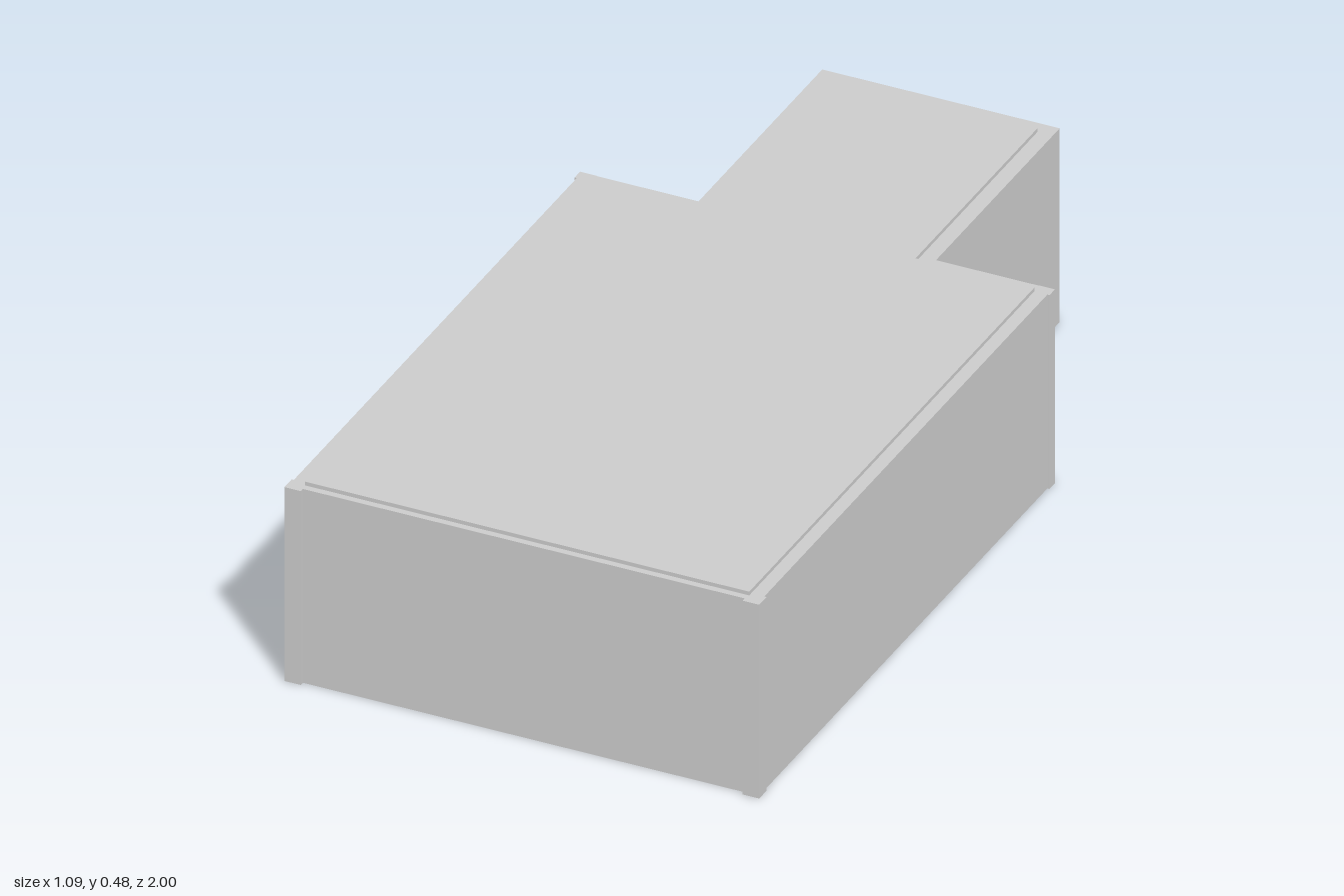
import * as THREE from 'three';

const material = new THREE.MeshStandardMaterial({ color: 0xcccccc, flatShading: true });

// Mirrored T-shaped plan: wide hall in front, narrow wing behind, extruded upwards
function tBlock(name, hallX, wingX, front, shoulder, back, y0, y1) {
  const half = [[hallX, front], [hallX, shoulder], [wingX, shoulder], [wingX, back]];
  const outline = [...half, ...half.map(([x, z]) => [-x, z]).reverse()];
  const shape = new THREE.Shape(outline.map(([x, z]) => new THREE.Vector2(x, -z)));
  const geometry = new THREE.ExtrudeGeometry(shape, { depth: y1 - y0, bevelEnabled: false });
  geometry.rotateX(-Math.PI / 2).translate(0, y0, 0);
  const mesh = new THREE.Mesh(geometry, material);
  mesh.name = name;
  return mesh;
}

function box(name, x0, x1, y0, y1, z0, z1) {
  const mesh = new THREE.Mesh(new THREE.BoxGeometry(x1 - x0, y1 - y0, z1 - z0), material);
  mesh.position.set((x0 + x1) / 2, (y0 + y1) / 2, (z0 + z1) / 2);
  mesh.name = name;
  return mesh;
}

export function createModel() {
  const group = new THREE.Group();
  group.name = 'building';
  const wallTop = 0.468;

  // Main walls and the slightly raised, inset roof
  group.add(tBlock('walls', 0.541, 0.273, 0.99, -0.41, -1, 0, wallTop));
  group.add(tBlock('roof', 0.511, 0.238, 0.975, -0.385, -0.968, wallTop - 0.01, 0.477));

  // Corner posts standing slightly proud of the walls
  for (const side of [-1, 1]) {
    const [x0, x1] = side > 0 ? [0.508, 0.546] : [-0.546, -0.508];
    group.add(box(side > 0 ? 'frontPostLeft' : 'frontPostRight', x0, x1, 0, wallTop, 0.965, 1));
    group.add(box(side > 0 ? 'rearPostLeft' : 'rearPostRight', x0, x1, 0, wallTop, -0.411, -0.385));
  }
  return group;
}
